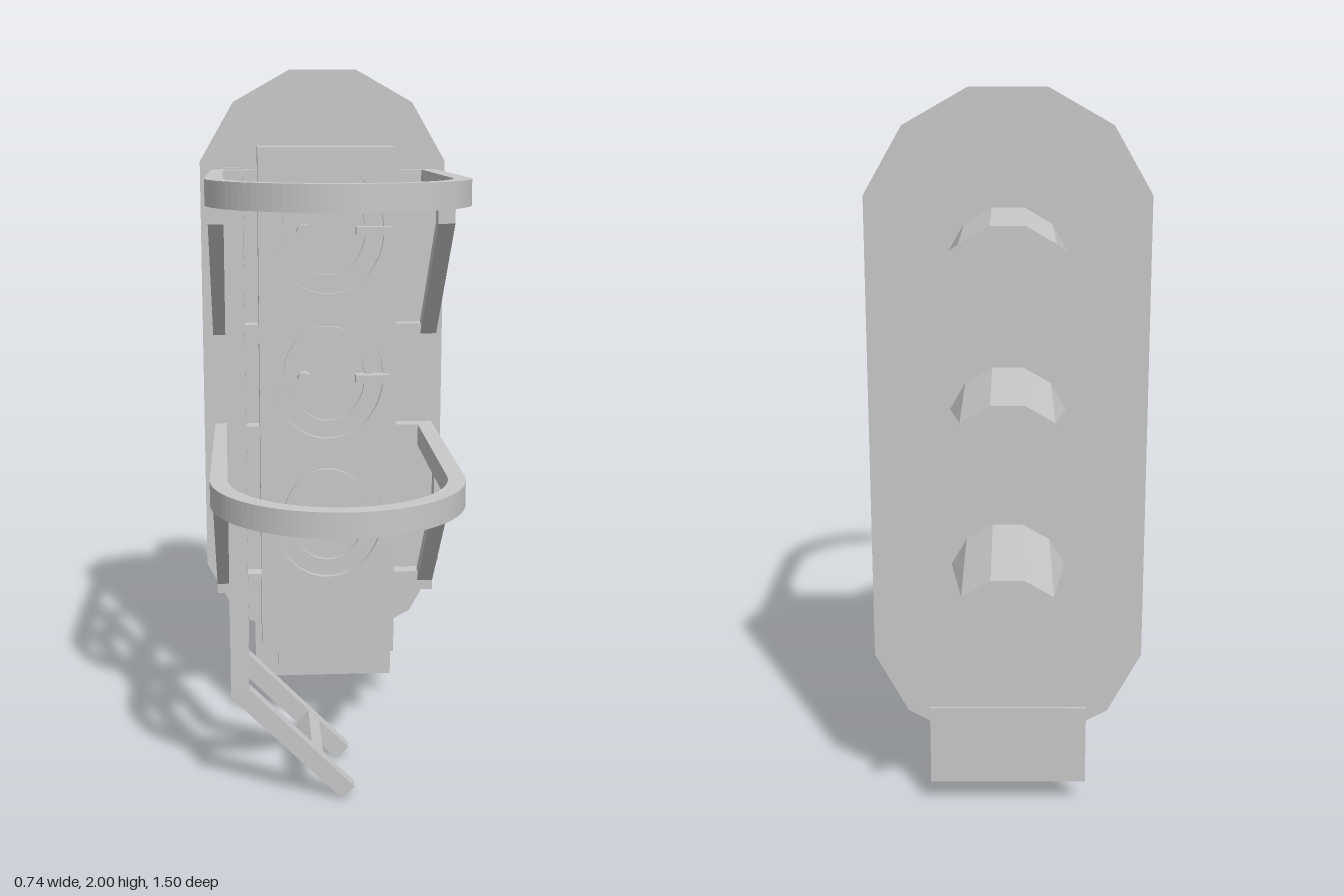
import * as THREE from 'three';

export function createModel() {
  const model = new THREE.Group();
  model.name = 'railwaySignal';
  const grey = new THREE.MeshStandardMaterial({ color: 0xc8c8c8, side: THREE.DoubleSide, flatShading: true });
  grey.name = 'grey';

  const add = (name, geometry, x = 0, y = 0, z = 0) => {
    const mesh = new THREE.Mesh(geometry, grey);
    mesh.name = name;
    mesh.position.set(x, y, z);
    model.add(mesh);
    return mesh;
  };
  // box given by its limits on each axis
  const box = (name, x0, x1, y0, y1, z0, z1) =>
    add(name, new THREE.BoxGeometry(x1 - x0, y1 - y0, z1 - z0), (x0 + x1) / 2, (y0 + y1) / 2, (z0 + z1) / 2);
  const polygon = (points) => new THREE.Shape(points.map(([x, y]) => new THREE.Vector2(x, y)));
  const extrude = (shape, depth) =>
    new THREE.ExtrudeGeometry(shape, { depth, bevelEnabled: false, curveSegments: 24 });
  const oval = (path, y, rx, ry) => path.absellipse(0, y, rx, ry, 0, Math.PI * 2, false);

  // backboard with clipped ends
  const half = [[0.1, 2], [0.27, 1.905], [0.372, 1.73], [0.372, 0.46], [0.28, 0.29], [0.14, 0.215]];
  const outline = [...half, ...half.map(([x, y]) => [-x, y]).reverse()];
  add('backboard', extrude(polygon(outline), 0.006), 0, 0, -0.324);

  // housing, base box and lower plate
  box('housing', -0.2, 0.2, 0.26, 1.777, -0.32, -0.055);
  box('baseBox', -0.15, 0.14, 0.175, 0.26, -0.32, -0.1);
  box('lowerPlate', -0.22, 0.22, 0.07, 0.3, -0.332, -0.325);

  // housing front with oval door recesses, and the doors set into them
  const front = polygon([[-0.2, 0.26], [0.2, 0.26], [0.2, 1.777], [-0.2, 1.777]]);
  for (const y of [1.542, 1.113, 0.685]) {
    front.holes.push(oval(new THREE.Path(), y, 0.162, 0.182));
    const rim = oval(new THREE.Shape(), 0, 0.132, 0.152);
    rim.holes.push(oval(new THREE.Path(), 0, 0.108, 0.128));
    add('doorRim', extrude(rim, 0.013), 0, y, -0.055);
    box('doorHandle', 0.08, 0.18, y - 0.012, y + 0.012, -0.055, -0.01);
    add('doorKnob', new THREE.CylinderGeometry(0.02, 0.02, 0.046, 12).rotateX(Math.PI / 2), -0.07, y, -0.033);
  }
  add('housingFront', extrude(front, 0.015), 0, 0, -0.055);

  // hood: upper part of a twelve-sided tube, its lower edges cut on a slant
  const makeHood = () => {
    const geometry = new THREE.PlaneGeometry(1, 1, 5, 1);
    const place = (index, degrees, z) => {
      const angle = THREE.MathUtils.degToRad(degrees);
      geometry.attributes.position.setXYZ(index, 0.16 * Math.sin(angle), 0.16 * Math.cos(angle), z);
    };
    for (let i = 0; i < 6; i++) {
      const degrees = -75 + 30 * i;
      place(i, degrees, -0.322);
      place(6 + i, THREE.MathUtils.clamp(degrees, -45, 45), -0.75);
    }
    geometry.computeVertexNormals();
    return geometry;
  };
  for (const y of [1.545, 1.125, 0.688]) {
    add('lens', new THREE.CylinderGeometry(0.13, 0.13, 0.014, 12).rotateX(Math.PI / 2), 0, y, -0.328);
    add('hood', makeHood(), 0, y, 0);
  }

  // safety hoops: U-shaped bars, drawn in x and z, with returns to the housing
  const hoop = new THREE.Shape();
  hoop.moveTo(0.337, -0.28);
  hoop.lineTo(0.337, 0.41);
  hoop.absarc(0, 0.41, 0.337, 0, Math.PI, false);
  hoop.lineTo(-0.337, -0.28);
  hoop.lineTo(-0.2, -0.28);
  hoop.lineTo(-0.2, -0.23);
  hoop.lineTo(-0.29, -0.23);
  hoop.lineTo(-0.29, 0.41);
  hoop.absarc(0, 0.41, 0.29, Math.PI, 0, true);
  hoop.lineTo(0.29, -0.23);
  hoop.lineTo(0.2, -0.23);
  hoop.lineTo(0.2, -0.28);
  // diagonal hoop brace, drawn in z and y
  const brace = polygon([[0.165, 0.012], [0.165, -0.065], [-0.19, -0.42], [-0.19, -0.45],
    [-0.24, -0.45], [-0.24, -0.39], [-0.215, -0.39], [0.115, -0.063], [0.115, 0.012]]);
  for (const [hoopY, braceY] of [[1.642, 1.64], [0.863, 0.855]]) {
    add('safetyHoop', extrude(hoop, 0.066).rotateX(Math.PI / 2), 0, hoopY + 0.066, 0);
    for (const side of [-1, 1]) {
      add('hoopBrace', extrude(brace, 0.047).rotateY(-Math.PI / 2), side * 0.3135 + 0.0235, braceY, 0);
      const foot = box('braceFoot', 0.2, 0.29, braceY - 0.45, braceY - 0.39, -0.24, -0.19);
      foot.position.x *= side;
    }
  }

  // ladder with a kicked-out foot
  const stringer = polygon([[-0.29, 1.727], [-0.29, 0.31], [0.015, 0.002], [0.05, 0.037], [-0.24, 0.333], [-0.24, 1.727]]);
  for (const z of [0.11, 0.36]) add('ladderRail', extrude(stringer, 0.04), 0, 0, z);
  for (const y of [1.535, 1.153, 0.77]) box('ladderRung', -0.29, -0.24, y - 0.02, y + 0.02, 0.15, 0.36);
  const lowRung = box('ladderLowRung', -0.09, -0.046, 0.103, 0.147, 0.15, 0.36);
  lowRung.rotation.z = -Math.PI / 4;

  return model;
}
